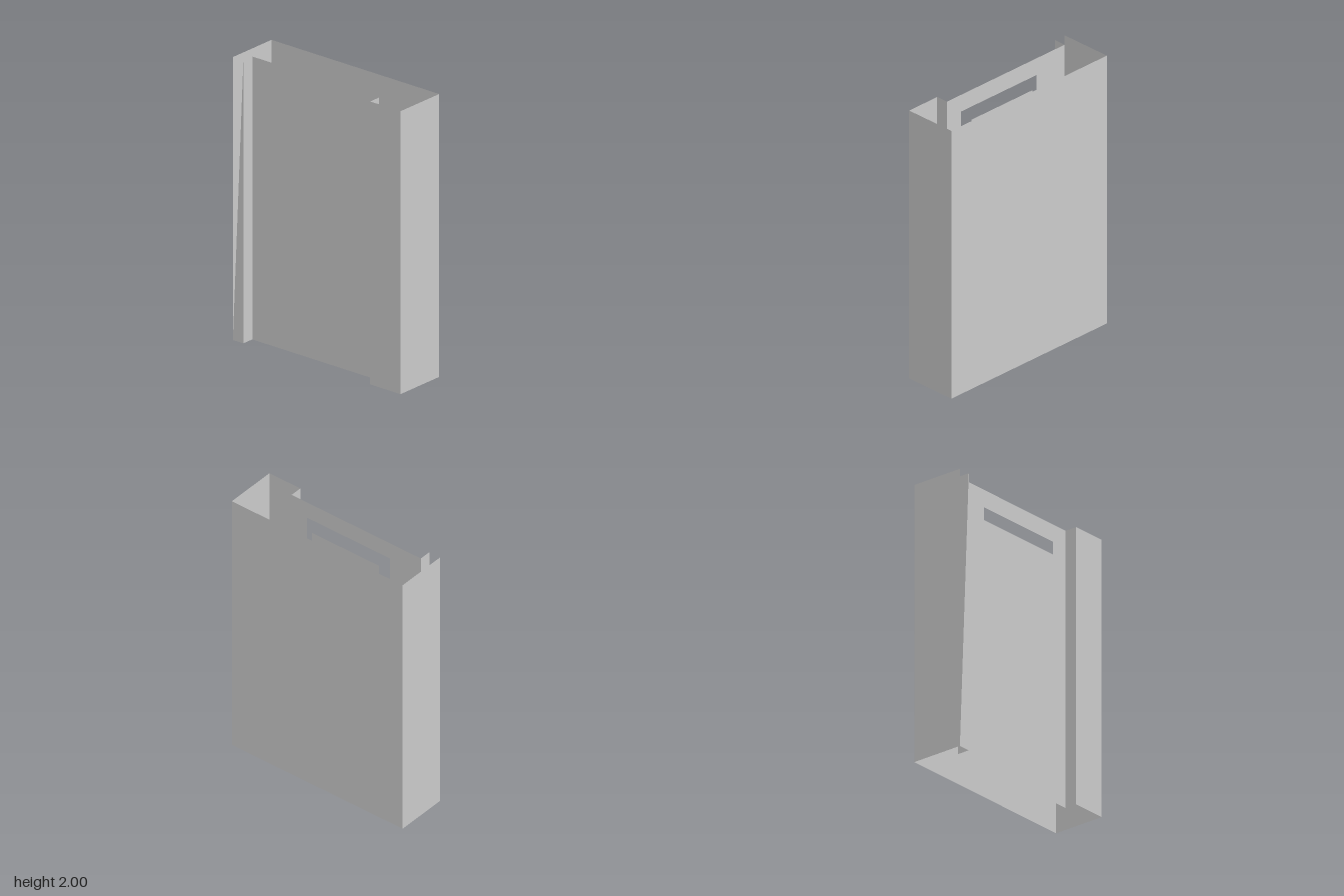
import * as THREE from 'three';

const material = new THREE.MeshStandardMaterial({ color: 0xcccccc, side: THREE.DoubleSide, flatShading: true });

// Outline of a rectangle in (z, y)
const rect = (C, z0, z1, y0, y1) => new C([[z0, y0], [z1, y0], [z1, y1], [z0, y1]].map(([z, y]) => new THREE.Vector2(-z, y)));

export function createModel() {
  const group = new THREE.Group();
  const H = 2, X = 0.195, Z = 0.72, panelX = -0.105, z0 = -0.63, z1 = 0.46;

  // Sheet facing sideways at a given x
  const sideSheet = (name, x, shape) => {
    const mesh = new THREE.Mesh(new THREE.ShapeGeometry(shape), material);
    mesh.name = name;
    mesh.rotation.y = Math.PI / 2;
    mesh.position.x = x;
    group.add(mesh);
  };
  const sidePlate = (name, x, ...r) => sideSheet(name, x, rect(THREE.Shape, ...r));

  // Full-height sheet facing front or back at a given z
  const endSheet = (name, z, xa, xb) => {
    const mesh = new THREE.Mesh(new THREE.PlaneGeometry(xb - xa, H), material);
    mesh.name = name;
    mesh.position.set((xa + xb) / 2, H / 2, z);
    group.add(mesh);
  };

  // Open-topped cabinet shell
  sidePlate('sideWall', X, -Z, Z, 0, H);
  endSheet('backWall', -Z, -X, X);
  endSheet('frontWall', Z, panelX, X);
  endSheet('frontWallEdge', Z, -X, panelX);

  // Posts beside the recessed panel
  sidePlate('frontPost', -X, z1, Z, 0, H);
  endSheet('frontPostReturn', z1, -X, panelX);
  endSheet('backPostReturn', z0, -X, panelX);
  const taper = new THREE.Shape();
  taper.moveTo(Z, 0).lineTo(-z0, 0).lineTo(-z0, H).closePath();
  sideSheet('backPost', -X, taper);

  // Recessed panel with the display opening
  const panel = rect(THREE.Shape, z0, z1, 0, H);
  panel.holes.push(rect(THREE.Path, -0.37, 0.33, 0.585, 1.875));
  sideSheet('panel', panelX, panel);

  // Display and small plates
  sidePlate('display', -0.075, -0.3, 0.263, 0.63, 1.8);
  sidePlate('keypadBase', -0.08, -0.29, 0.02, 0.617, 0.85);
  sidePlate('keypadFront', -0.128, -0.28, 0.01, 0.62, 0.83);
  sidePlate('slotPlate', panelX - 0.004, -0.05, 0.1, 0.28, 0.42);

  return group;
}
